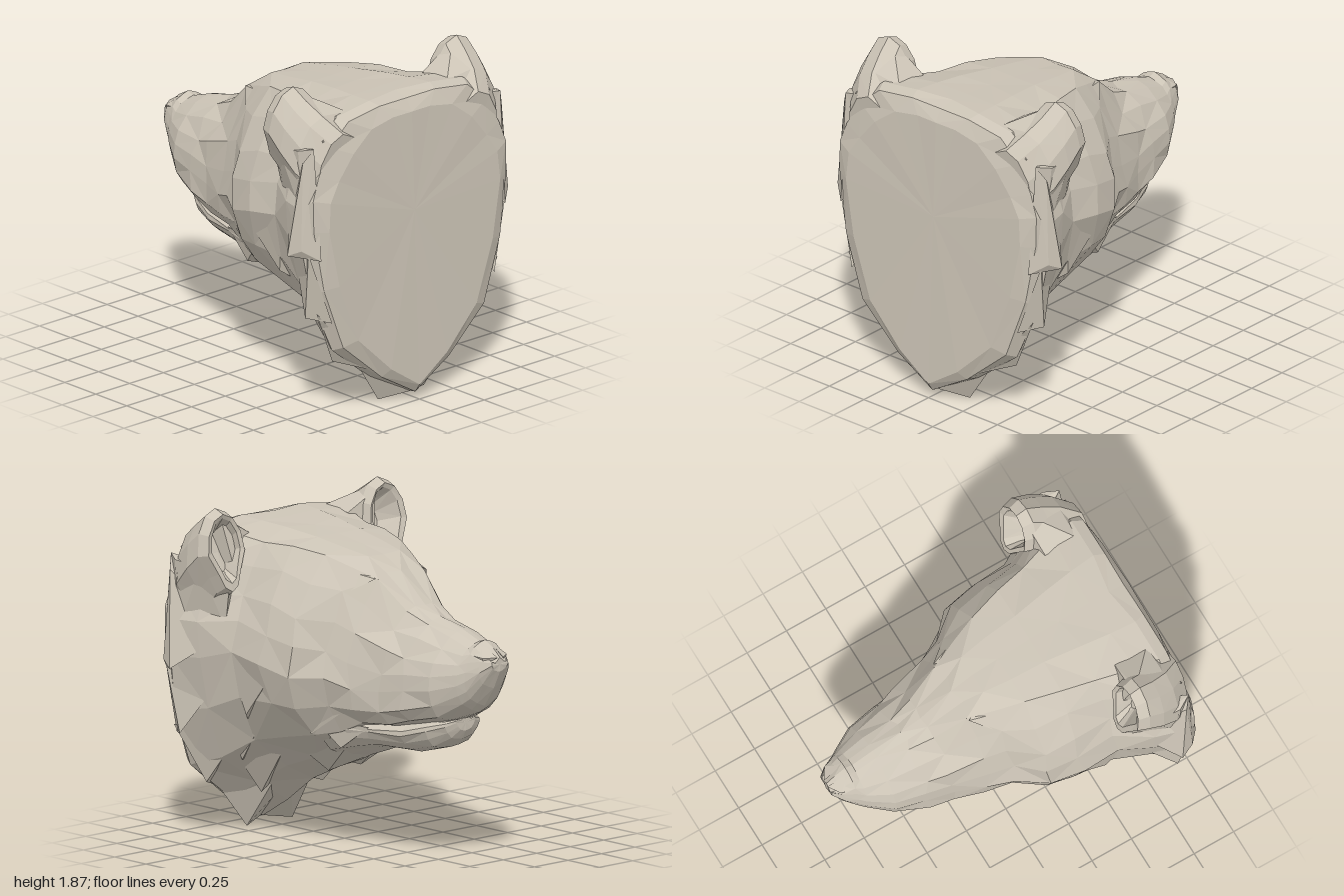
import * as THREE from 'three';
import { ConvexGeometry } from 'three/addons/geometries/ConvexGeometry.js';

const material = new THREE.MeshStandardMaterial({ color: 0xccc4b6, flatShading: true, side: THREE.DoubleSide });
const V = (x, y, z) => new THREE.Vector3(x, y, z);
const lerp = THREE.MathUtils.lerp;
// Repeatable noise in -1..1
const noise = (a, b) => {
  const n = Math.sin(a * 127.1 + b * 311.7) * 43758.5453;
  return (n - Math.floor(n)) * 2 - 1;
};

// Skin closed rings, running from +z to -z and clockwise seen from +z, with both ends capped
function loft(rings) {
  const n = rings[0].length, pos = [], index = [];
  rings.flat().forEach(p => pos.push(p.x, p.y, p.z));
  for (let i = 0; i < rings.length - 1; i++) {
    for (let j = 0; j < n; j++) {
      const a = i * n + j, b = i * n + (j + 1) % n, c = a + n, d = b + n;
      if ((i + j) % 2) index.push(a, b, c, b, d, c);
      else index.push(a, b, d, a, d, c);
    }
  }
  for (const first of [true, false]) {
    const ring = first ? rings[0] : rings.at(-1), base = first ? 0 : (rings.length - 1) * n;
    const mid = ring.reduce((s, p) => s.add(p), V(0, 0, 0)).divideScalar(n);
    const m = pos.length / 3;
    pos.push(mid.x, mid.y, mid.z);
    for (let j = 0; j < n; j++) {
      const a = base + j, b = base + (j + 1) % n;
      if (first) index.push(m, b, a); else index.push(m, a, b);
    }
  }
  const g = new THREE.BufferGeometry();
  g.setAttribute('position', new THREE.Float32BufferAttribute(pos, 3));
  g.setIndex(index);
  g.computeVertexNormals();
  return g;
}

// Symmetric cross-section from crown, widest point, cheek and underside
function section([z, top, topW, w, midY, botW, bottom], row, rough) {
  const shoulder = z > 0.6 && z < 0.95 ? 0.94 : 0.87;
  const cheek = z < -0.3 && z > -0.8 ? 0.18 : 0.35;
  const half = new THREE.SplineCurve([
    [0, top], [topW, top - 0.03], [w * shoulder, lerp(top, midY, 0.5)],
    [w, midY], [botW, lerp(bottom, midY, cheek)], [0, bottom],
  ].map(p => new THREE.Vector2(...p))).getPoints(10);
  const k = z < 0.9 && z > -0.6 ? rough : rough * 0.15;
  const pts = half.map((p, j) => {
    const end = j === 0 || j === 10;
    const lean = z > 0.8 ? 0.04 * (1 - p.y) : 0;
    return V(end ? 0 : p.x + k * noise(row, j), p.y + (end ? 0 : k * noise(j, row + 9)),
      z + lean + k * 1.6 * noise(row + 3, j + 5));
  });
  const mirrored = pts.slice(1, -1).reverse().map(p => V(-p.x, p.y, p.z));
  return [...pts, ...mirrored];
}

export function createModel() {
  const group = new THREE.Group();
  const add = (name, geometry) => {
    const mesh = new THREE.Mesh(geometry, material);
    mesh.name = name;
    group.add(mesh);
  };

  // Head: z, top, top half-width, half-width, widest y, cheek half-width, bottom
  const head = [
    [0.965, 1.66, 0.30, 0.63, 1.12, 0.44, 0.09],
    [0.93, 1.73, 0.44, 0.71, 1.13, 0.52, 0.04],
    [0.85, 1.75, 0.46, 0.74, 1.05, 0.55, 0.03],
    [0.70, 1.74, 0.44, 0.69, 1.05, 0.47, 0.15],
    [0.50, 1.72, 0.38, 0.61, 1.08, 0.42, 0.30],
    [0.28, 1.70, 0.33, 0.60, 1.05, 0.39, 0.40],
    [0.10, 1.67, 0.28, 0.57, 1.00, 0.37, 0.47],
    [-0.05, 1.64, 0.23, 0.44, 1.00, 0.33, 0.54],
    [-0.19, 1.57, 0.17, 0.375, 0.97, 0.30, 0.66],
    [-0.38, 1.41, 0.12, 0.325, 0.96, 0.275, 0.74],
    [-0.52, 1.365, 0.11, 0.305, 0.98, 0.255, 0.775],
    [-0.70, 1.32, 0.10, 0.26, 1.01, 0.195, 0.82],
    [-0.83, 1.275, 0.09, 0.18, 1.05, 0.13, 0.88],
    [-0.87, 1.29, 0.08, 0.15, 1.07, 0.11, 0.92],
    [-0.94, 1.25, 0.07, 0.11, 1.13, 0.08, 1.03],
    [-0.99, 1.21, 0.04, 0.06, 1.17, 0.04, 1.13],
  ];
  add('head', loft(head.map((r, i) => section(r, i, 0.014))));

  // Lower jaw, tucked up against the muzzle
  const jaw = [
    [0.10, 0.85, 0.15, 0.33, 0.70, 0.26, 0.48],
    [-0.10, 0.81, 0.16, 0.32, 0.72, 0.24, 0.555],
    [-0.23, 0.79, 0.16, 0.285, 0.71, 0.21, 0.605],
    [-0.45, 0.81, 0.14, 0.235, 0.72, 0.16, 0.61],
    [-0.60, 0.84, 0.12, 0.19, 0.76, 0.13, 0.65],
    [-0.69, 0.85, 0.08, 0.13, 0.79, 0.08, 0.71],
    [-0.72, 0.85, 0.04, 0.07, 0.81, 0.04, 0.76],
  ];
  add('lowerJaw', loft(jaw.map((r, i) => section(r, i + 30, 0.006))));

  // Ear rings: centre x, centre y, z, half-width, half-height; the last two form the hollow
  const ear = [
    [0.50, 1.35, 0.90, 0.17, 0.30], [0.56, 1.45, 0.80, 0.18, 0.29],
    [0.59, 1.55, 0.70, 0.17, 0.26], [0.605, 1.63, 0.61, 0.155, 0.245],
    [0.605, 1.64, 0.545, 0.135, 0.21], [0.60, 1.65, 0.555, 0.105, 0.175],
    [0.57, 1.62, 0.66, 0.055, 0.10],
  ];
  // Sloping web from the inner ear edge down to the crown
  const earRoot = [
    [0.58, 1.84, 0.63], [0.50, 1.78, 0.61], [0.37, 1.71, 0.62], [0.37, 1.72, 0.82],
    [0.56, 1.74, 0.82], [0.52, 1.52, 0.57], [0.62, 1.62, 0.90],
  ];
  // Fur blending the underside of the ear into the cheek
  const earBase = [
    [0.72, 1.56, 0.64], [0.62, 1.45, 0.51], [0.735, 1.58, 0.82], [0.69, 1.60, 0.90],
    [0.60, 1.22, 0.56], [0.70, 1.15, 0.84], [0.50, 1.50, 0.58],
  ];
  // Fur tufts: tip followed by its root points
  const tufts = [
    [[0.795, 0.98, 0.80], [0.735, 1.52, 0.86], [0.69, 1.60, 0.90], [0.57, 1.18, 0.58], [0.765, 1.02, 0.88], [0.68, 0.96, 0.95]],
    [[0.69, 0.60, 0.83], [0.73, 1.00, 0.90], [0.60, 0.86, 0.66], [0.60, 0.58, 0.95]],
    [[0.49, 0.30, 0.83], [0.67, 0.64, 0.90], [0.45, 0.54, 0.66], [0.34, 0.25, 0.95]],
    [[0.17, 0.005, 0.85], [0.40, 0.32, 0.90], [0.14, 0.32, 0.64], [0, 0.03, 0.92], [0, 0.28, 0.68]],
    [[0.23, 0.23, 0.67], [0.42, 0.50, 0.70], [0.28, 0.48, 0.46], [0.08, 0.28, 0.72]],
    [[0.40, 0.44, 0.64], [0.55, 0.78, 0.68], [0.46, 0.70, 0.42], [0.28, 0.44, 0.70]],
    [[0.12, 0.40, 0.25], [0.32, 0.60, 0.36], [0.20, 0.56, 0.04], [0, 0.44, 0.40], [0, 0.50, 0.05]],
    [[0.39, 0.67, 0.10], [0.49, 0.92, 0.24], [0.36, 0.82, -0.12], [0.32, 0.62, 0.22]],
    [[0.31, 0.60, -0.05], [0.38, 0.76, 0.10], [0.28, 0.74, -0.24], [0.20, 0.58, 0.04]],
    [[0.54, 0.74, 0.46], [0.60, 1.05, 0.54], [0.57, 0.96, 0.26], [0.46, 0.68, 0.52]],
  ];
  // Brow ridge over each eye hollow, and the wing above each nostril
  const brow = [[0.19, 1.55, -0.20], [0.27, 1.59, 0.04], [0.14, 1.60, -0.08], [0.30, 1.47, -0.08]];
  const noseWing = [[0.03, 1.28, -0.87], [0.11, 1.22, -0.87], [0.09, 1.21, -0.95], [0.02, 1.21, -0.995], [0.08, 1.17, -0.94]];

  for (const s of [1, -1]) {
    const side = s > 0 ? 'left' : 'right';
    add(side + 'Ear', loft(ear.map(([cx, cy, z, rx, ry]) => Array.from({ length: 12 }, (_, i) => {
      const a = i * Math.PI / 6, c = Math.cos(a);
      const taper = c < -0.1 ? 0.7 : 1;
      return V(s * cx + rx * taper * Math.sin(a), cy + ry * c, z + (c < 0 ? 0.05 * c : 0.03 * c));
    }))));
    const place = (name, pts) => add(side + name, new ConvexGeometry(pts.map(([x, y, z]) => V(s * x, y, z))));
    place('EarRoot', earRoot);
    place('EarBase', earBase);
    place('Brow', brow);
    place('NoseWing', noseWing);
    tufts.forEach((t, i) => place('FurTuft' + (i + 1), t));
  }
  return group;
}
